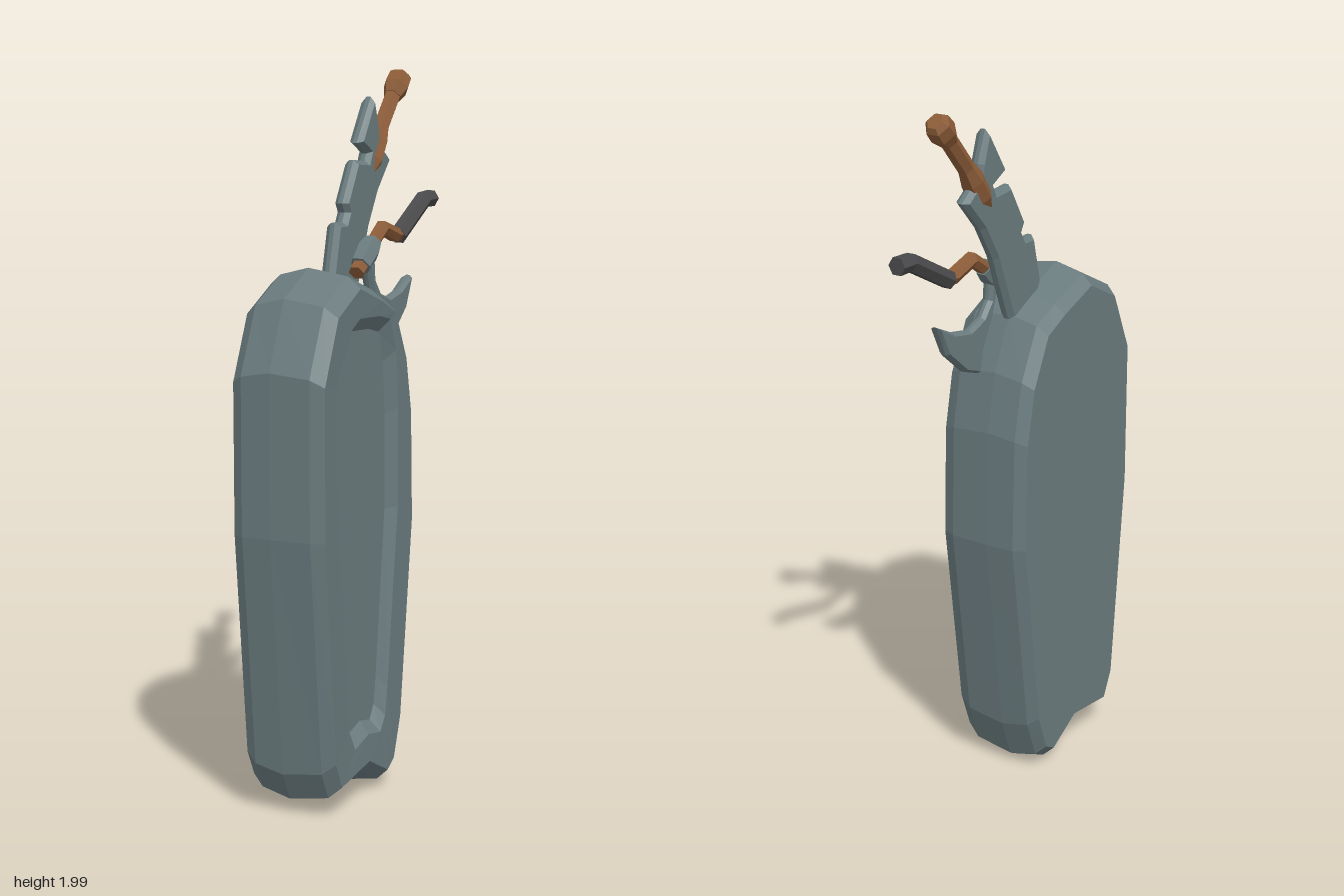
import * as THREE from 'three';

const stoneMat = new THREE.MeshStandardMaterial({ color: 0x697a7d });
stoneMat.name = 'blue grey';
const woodMat = new THREE.MeshStandardMaterial({ color: 0x8c5c38 });
woodMat.name = 'brown wood';
const gripMat = new THREE.MeshStandardMaterial({ color: 0x4a4a4c });
gripMat.name = 'dark grip';

function addMesh(parent, name, geometry, material) {
  const mesh = new THREE.Mesh(geometry, material);
  mesh.name = name;
  parent.add(mesh);
  return mesh;
}

// Closed solid through rings of equal length, both ends capped, faceted.
function loft(rings) {
  const n = rings[0].length;
  const tris = [];
  const centre = (r) => r.reduce((s, p) => s.add(p), new THREE.Vector3()).divideScalar(n);
  const first = rings[0], last = rings[rings.length - 1];
  const c0 = centre(first), c1 = centre(last);
  for (let j = 0; j < n; j++) {
    const k = (j + 1) % n;
    tris.push([c0, first[k], first[j]], [c1, last[j], last[k]]);
    for (let i = 0; i < rings.length - 1; i++) {
      const a = rings[i], b = rings[i + 1];
      tris.push([a[j], a[k], b[k]], [a[j], b[k], b[j]]);
    }
  }
  // Turn the faces outward whatever the ring direction.
  let volume = 0;
  const cross = new THREE.Vector3();
  for (const [a, b, c] of tris) volume += a.dot(cross.crossVectors(b, c));
  const pos = [];
  for (const [a, b, c] of tris) {
    for (const p of volume > 0 ? [a, b, c] : [a, c, b]) pos.push(p.x, p.y, p.z);
  }
  const geo = new THREE.BufferGeometry();
  geo.setAttribute('position', new THREE.Float32BufferAttribute(pos, 3));
  geo.computeVertexNormals();
  return geo;
}

// Six-sided rod along a bent path of [z, y, radius] at constant x.
function rod(path, x, sides = 6) {
  const pts = path.map(([z, y]) => new THREE.Vector2(z, y));
  return loft(path.map(([z, y, r], i) => {
    const dir = pts[Math.min(i + 1, pts.length - 1)].clone()
      .sub(pts[Math.max(i - 1, 0)]).normalize();
    return Array.from({ length: sides }, (_, j) => {
      const a = (j / sides) * Math.PI * 2;
      const s = Math.sin(a) * r;
      return new THREE.Vector3(x + Math.cos(a) * r, y + dir.x * s, z - dir.y * s);
    });
  }));
}

// Blade cut from a [z, y] outline, with bevelled edges.
function blade(outline, x, thickness, bevel) {
  const shape = new THREE.Shape(outline.map(([z, y]) => new THREE.Vector2(z, y)));
  const core = thickness * 0.3;
  const geo = new THREE.ExtrudeGeometry(shape, {
    depth: core, bevelEnabled: true, bevelSegments: 1,
    bevelThickness: (thickness - core) / 2, bevelSize: bevel, bevelOffset: -bevel,
  });
  geo.translate(0, 0, -core / 2);
  geo.rotateY(-Math.PI / 2);
  geo.translate(x, 0, 0);
  return geo;
}

export function createModel() {
  const model = new THREE.Group();
  model.name = 'stoneWithWeapons';

  // Upright stone slab, outline in [z, y]
  const outline = [
    [0.23, 1.48], [0.37, 1.41], [0.455, 1.225], [0.455, 0.785], [0.39, 0.125],
    [0.35, 0.045], [0.165, 0.07], [0.04, 0.005], [-0.005, 0.03], [-0.05, 0.15],
    [-0.13, 0.75], [-0.12, 1.08], [-0.085, 1.245], [-0.01, 1.39], [0.08, 1.43],
  ];
  // Border of the sunken panel on the left side
  const panel = [
    [0.22, 1.35], [0.27, 1.325], [0.36, 1.19], [0.36, 0.92], [0.29, 0.24],
    [0.25, 0.175], [0.165, 0.195], [0.09, 0.18], [0.06, 0.22], [0.045, 0.3],
    [-0.02, 0.8], [-0.02, 1.08], [-0.005, 1.24], [0.03, 1.33], [0.1, 1.345],
  ];
  const ring = (pts, x, sz, sy) => pts.map(([z, y]) =>
    new THREE.Vector3(x, 0.76 + (y - 0.76) * sy, 0.165 + (z - 0.165) * sz));
  addMesh(model, 'stoneSlab', loft([
    ring(outline, -0.132, 0.93, 0.93),
    ring(outline, -0.1, 0.99, 0.97),
    ring(outline, -0.015, 1, 1),
    ring(outline, 0.1, 0.985, 0.975),
    ring(outline, 0.137, 0.93, 0.93),
    ring(panel, 0.134, 1, 1),
    ring(panel, 0.105, 0.86, 0.94),
  ]), stoneMat);

  // Sword stuck in the top
  const sword = new THREE.Group();
  sword.name = 'sword';
  model.add(sword);
  addMesh(sword, 'swordBlade', blade([
    [-0.13, 1.925], [-0.04, 1.8], [-0.1, 1.77], [-0.09, 1.75], [-0.02, 1.755],
    [0.05, 1.64], [0.035, 1.615], [0.05, 1.59], [0.095, 1.59], [0.13, 1.455],
    [0.08, 1.36], [-0.02, 1.38], [-0.095, 1.565], [-0.155, 1.66], [-0.24, 1.75],
    [-0.17, 1.8], [-0.165, 1.84],
  ], -0.01, 0.042, 0.012), stoneMat);
  addMesh(sword, 'swordHandle', rod([
    [-0.115, 1.71, 0.018], [-0.145, 1.75, 0.035], [-0.18, 1.8, 0.034],
    [-0.21, 1.84, 0.024], [-0.295, 1.935, 0.024],
  ], -0.01), woodMat);
  addMesh(sword, 'swordPommel', rod([
    [-0.285, 1.925, 0.026], [-0.31, 1.95, 0.038], [-0.335, 1.975, 0.036],
    [-0.345, 1.985, 0.024],
  ], -0.01), woodMat);

  // Axe with a bent handle beside the sword
  const axe = new THREE.Group();
  axe.name = 'axe';
  model.add(axe);
  const axeX = 0.036;
  addMesh(axe, 'axeGrip', rod([
    [-0.455, 1.63, 0.026], [-0.4, 1.628, 0.026], [-0.225, 1.535, 0.026],
  ], axeX), gripMat);
  addMesh(axe, 'axeShaft', rod([
    [-0.235, 1.54, 0.02], [-0.205, 1.54, 0.022], [-0.12, 1.565, 0.022],
    [-0.05, 1.52, 0.02], [0.04, 1.455, 0.02],
  ], axeX), woodMat);
  addMesh(axe, 'axeShaftEnd', rod([
    [0.015, 1.472, 0.023], [0.042, 1.452, 0.023],
  ], axeX), woodMat);
  addMesh(axe, 'axeSocket', rod([
    [-0.062, 1.53, 0.026], [-0.03, 1.507, 0.035], [0.018, 1.47, 0.03],
  ], axeX), stoneMat);
  addMesh(axe, 'axeBlade', blade([
    [0.0, 1.47], [-0.03, 1.38], [-0.075, 1.3], [-0.09, 1.235], [-0.16, 1.26],
    [-0.245, 1.33], [-0.285, 1.42], [-0.21, 1.385], [-0.135, 1.37],
    [-0.075, 1.39], [-0.04, 1.43], [-0.03, 1.5],
  ], axeX + 0.005, 0.034, 0.008), stoneMat);

  return model;
}
